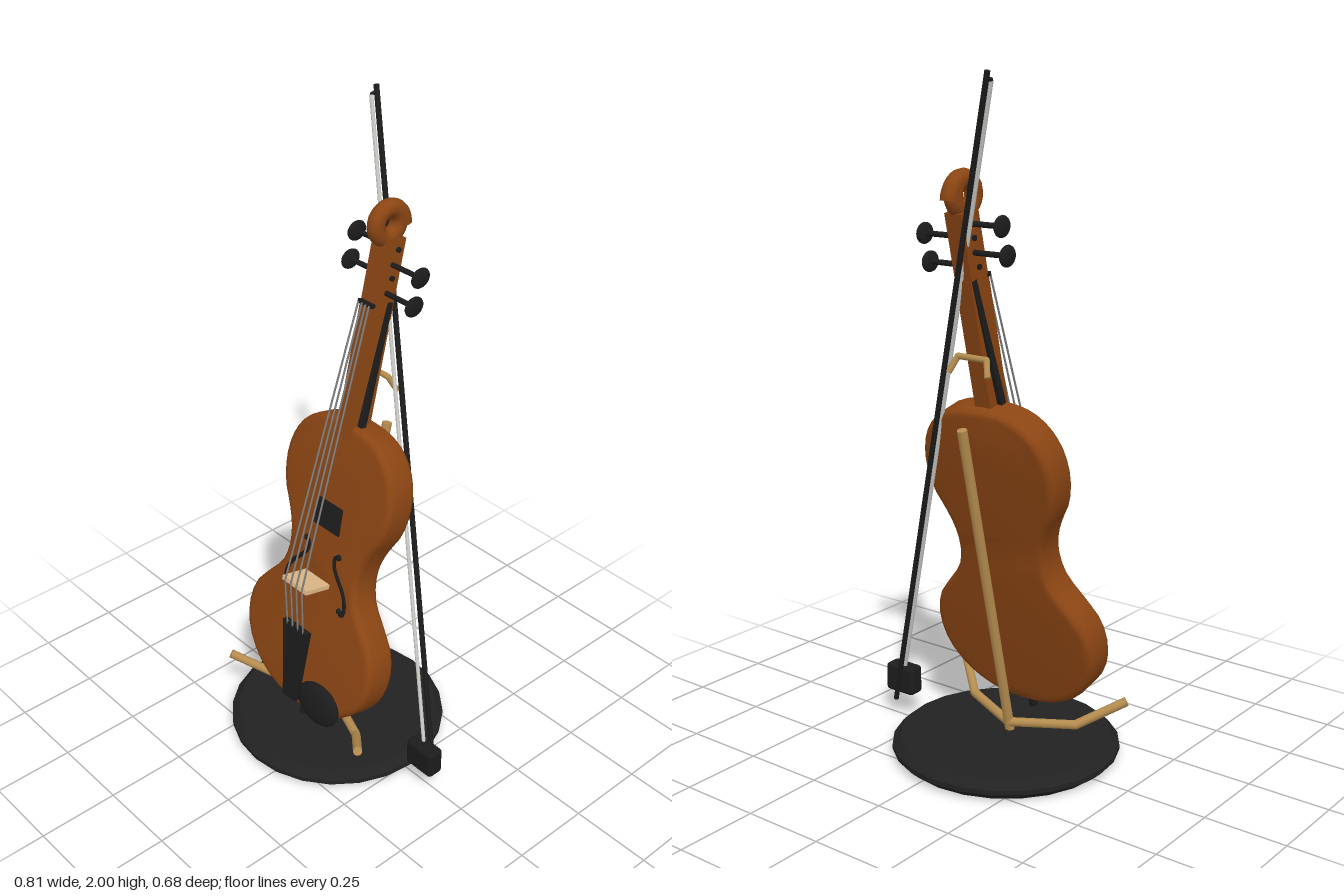
import * as THREE from 'three';
import { toCreasedNormals } from 'three/addons/utils/BufferGeometryUtils.js';
import { RoundedBoxGeometry } from 'three/addons/geometries/RoundedBoxGeometry.js';

const V = (x, y, z) => new THREE.Vector3(x, y, z);
const CX = -0.064; // centre line of the instrument
const TILT = 0.232; // backward lean

function material(name, color) {
  const m = new THREE.MeshStandardMaterial({ color });
  m.name = name;
  return m;
}

function add(parent, name, geometry, mat, pos = [0, 0, 0]) {
  const mesh = new THREE.Mesh(geometry, mat);
  mesh.name = name;
  mesh.position.set(...pos);
  parent.add(mesh);
  return mesh;
}

// Straight round bar between two points
function rod(parent, name, a, b, radius, mat, sides = 10) {
  const dir = b.clone().sub(a);
  const mesh = add(parent, name, new THREE.CylinderGeometry(radius, radius, dir.length(), sides), mat);
  mesh.position.copy(a).add(b).multiplyScalar(0.5);
  mesh.quaternion.setFromUnitVectors(V(0, 1, 0), dir.normalize());
  return mesh;
}

// Bent bar made of rods with round joints
function bentRod(parent, name, points, radius, mat) {
  const group = new THREE.Group();
  group.name = name;
  parent.add(group);
  points.forEach((p, i) => {
    if (i === 0) return;
    rod(group, name + 'Segment', points[i - 1], p, radius, mat);
    if (i < points.length - 1) add(group, name + 'Joint', new THREE.SphereGeometry(radius, 10, 8), mat, p.toArray());
  });
}

// Box whose width changes from bottom to top
function taperBox(bottom, top, height, depth) {
  const g = new THREE.BoxGeometry(1, height, depth);
  const p = g.attributes.position;
  for (let i = 0; i < p.count; i++) p.setX(i, p.getX(i) * (p.getY(i) > 0 ? top : bottom));
  g.computeVertexNormals();
  return g;
}

function ellipsoid(rx, ry, rz) {
  return new THREE.SphereGeometry(1, 20, 14).scale(rx, ry, rz);
}

function bodyGeometry() {
  // Half outline: half width, height along the body
  const half = [
    [0.06, -0.012], [0.13, 0.006], [0.2, 0.045], [0.26, 0.115], [0.283, 0.2], [0.268, 0.285],
    [0.215, 0.355], [0.168, 0.415], [0.152, 0.48], [0.158, 0.54], [0.182, 0.6], [0.214, 0.66],
    [0.229, 0.74], [0.22, 0.815], [0.19, 0.875], [0.14, 0.92], [0.07, 0.943],
  ];
  const pts = [...half, ...half.slice().reverse().map(([x, y]) => [-x, y])];
  const outline = new THREE.CatmullRomCurve3(pts.map(([x, y]) => V(x, y, 0)), true);
  const shape = new THREE.Shape(outline.getPoints(72).slice(0, -1).map((p) => new THREE.Vector2(p.x, p.y)));
  const g = new THREE.ExtrudeGeometry(shape, {
    depth: 0.066, bevelEnabled: true, bevelThickness: 0.02, bevelSize: 0.022, bevelOffset: -0.022, bevelSegments: 4,
  });
  g.translate(0, 0, -0.033);
  return toCreasedNormals(g, 0.7);
}

export function createModel() {
  const model = new THREE.Group();
  model.name = 'violinOnStand';

  const wood = material('varnishedWood', 0x8b4513);
  const ebony = material('ebony', 0x1c1c1c);
  const baseBlack = material('baseBlack', 0x222222);
  const brass = material('standTan', 0xb58d4f);
  const maple = material('paleMaple', 0xdeb887);
  const steel = material('stringGrey', 0x808080);
  const hair = material('bowHair', 0xcfcfca);

  // Stand base
  const profile = [[0, 0], [0.315, 0], [0.34, 0.022], [0.34, 0.036], [0.315, 0.06], [0, 0.06]];
  const baseGeo = new THREE.LatheGeometry(profile.map(([x, y]) => new THREE.Vector2(x, y)), 24);
  add(model, 'standBase', toCreasedNormals(baseGeo, 0.4), baseBlack, [CX, 0, 0]);

  // Everything below is centred on the instrument
  const centre = new THREE.Group();
  centre.name = 'centrePieces';
  centre.position.x = CX;
  model.add(centre);

  // Stand post, arms and neck hook
  rod(centre, 'standPost', V(0, 0.05, 0.022), V(0, 1.03, -0.203), 0.015, brass);
  for (const s of [-1, 1]) {
    bentRod(centre, 'standArm', [V(0, 0.085, 0.012), V(s * 0.19, 0.1, 0.09), V(s * 0.305, 0.172, 0.188)], 0.014, brass);
  }
  bentRod(centre, 'neckHook', [V(-0.068, 1.18, -0.177), V(-0.05, 1.225, -0.157), V(0.05, 1.225, -0.157), V(0.068, 1.18, -0.177)], 0.009, brass);

  // Leaning instrument: y runs along it, z out of its face
  const violin = new THREE.Group();
  violin.name = 'violin';
  violin.position.set(0, 0.16, 0.125);
  violin.rotation.x = -TILT;
  centre.add(violin);

  add(violin, 'body', bodyGeometry(), wood);
  add(violin, 'neck', new THREE.BoxGeometry(0.054, 0.42, 0.08), wood, [0, 1.11, 0.021]);
  add(violin, 'pegbox', new THREE.BoxGeometry(0.058, 0.19, 0.073), wood, [0, 1.415, 0.02]);
  add(violin, 'fingerboard', taperBox(0.112, 0.058, 0.72, 0.02), ebony, [0, 0.962, 0.0226]).rotation.x = -0.0744;
  add(violin, 'tailpiece', taperBox(0.056, 0.112, 0.265, 0.018), ebony, [0, 0.148, 0.088]).rotation.x = 0.11;
  add(violin, 'chinRest', ellipsoid(0.09, 0.064, 0.022), ebony, [0.125, 0.065, 0.08]);
  add(violin, 'endPin', new THREE.CylinderGeometry(0.014, 0.014, 0.06, 12), ebony, [0, -0.035, 0]);
  add(violin, 'bridge', new THREE.BoxGeometry(0.11, 0.014, 0.095), maple, [0, 0.432, 0.098]);

  // Sound holes
  const sHole = [[0.072, 0.54], [0.06, 0.535], [0.06, 0.507], [0.08, 0.477], [0.11, 0.445], [0.127, 0.415], [0.132, 0.385], [0.124, 0.367], [0.113, 0.378]];
  for (const s of [-1, 1]) {
    const path = new THREE.CatmullRomCurve3(sHole.map(([x, y]) => V(s * x, y, 0.053)));
    add(violin, 'soundHole', new THREE.TubeGeometry(path, 32, 0.007, 6), ebony);
    for (const end of [sHole[0], sHole[8]]) {
      add(violin, 'soundHoleEnd', new THREE.SphereGeometry(0.01, 10, 8), ebony, [s * end[0], end[1], 0.053]);
    }
  }

  // Strings from tailpiece over the bridge to the nut
  for (let i = 0; i < 4; i++) {
    const k = (i - 1.5) / 1.5;
    const bridgeTop = V(k * 0.038, 0.432, 0.149);
    rod(violin, 'stringTail', V(k * 0.036, 0.27, 0.108), bridgeTop, 0.003, steel, 6);
    rod(violin, 'string', bridgeTop, V(k * 0.022, 1.315, 0.073), 0.003, steel, 6);
  }
  add(violin, 'nut', new THREE.BoxGeometry(0.056, 0.012, 0.016), ebony, [0, 1.315, 0.062]);

  // Tuning pegs, alternating sides
  [[1.48, -0.165, 1], [1.52, -0.183, -1], [1.56, -0.187, 1], [1.6, -0.207, -1]].forEach(([y, z, s]) => {
    rod(centre, 'pegShaft', V(-s * 0.036, y, z), V(s * 0.135, y, z), 0.008, ebony);
    add(centre, 'pegHead', ellipsoid(0.011, 0.03, 0.034), ebony, [s * 0.14, y, z]);
  });

  // Scroll: a curled ring with a tail sweeping over the back
  const ring = new THREE.TorusGeometry(0.043, 0.026, 12, 28).rotateY(Math.PI / 2);
  add(centre, 'scrollRing', ring, wood, [0, 1.674, -0.193]);
  const tail = new THREE.CatmullRomCurve3([V(0, 1.69, -0.15), V(0, 1.713, -0.175), V(0, 1.717, -0.205), V(0, 1.702, -0.234), V(0, 1.675, -0.249), V(0, 1.66, -0.251)]);
  add(centre, 'scrollTail', new THREE.TubeGeometry(tail, 20, 0.026, 12), wood);
  const cap = add(centre, 'scrollTailEnd', new THREE.CircleGeometry(0.026, 12), wood, [0, 1.66, -0.251]);
  cap.rotation.x = Math.PI / 2;

  // Bow leaning behind the instrument
  const bow = new THREE.Group();
  bow.name = 'bow';
  model.add(bow);
  rod(bow, 'bowStick', V(0.35, 0.06, -0.025), V(-0.227, 1.998, -0.298), 0.008, ebony);
  rod(bow, 'bowHair', V(0.342, 0.14, 0.006), V(-0.222, 1.975, -0.275), 0.006, hair, 6);
  rod(bow, 'bowTip', V(-0.222, 1.975, -0.275), V(-0.222, 1.98, -0.296), 0.006, ebony, 6);
  add(bow, 'bowFrog', new RoundedBoxGeometry(0.106, 0.09, 0.055, 3, 0.012), ebony, [0.348, 0.12, 0.012]);

  return model;
}
